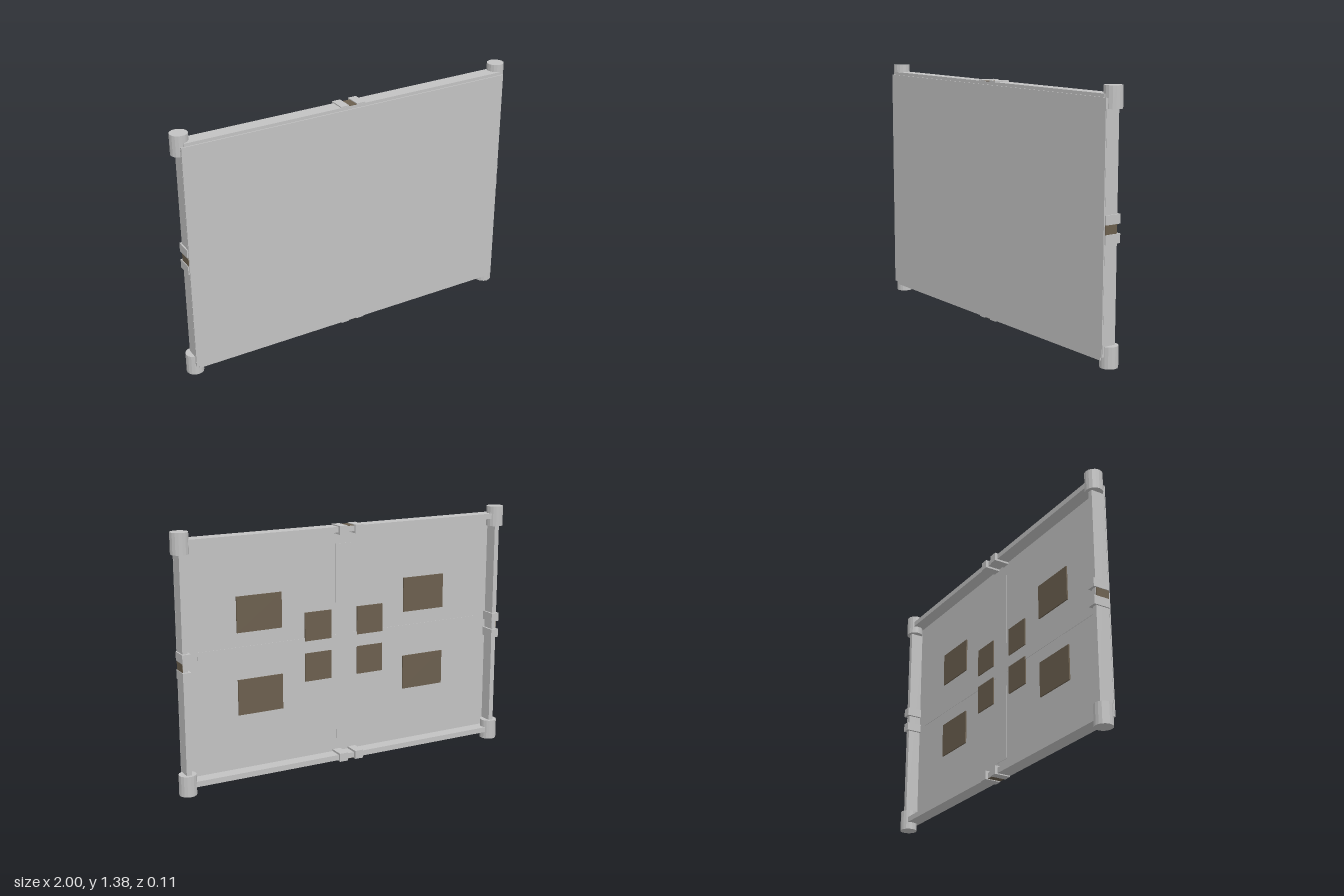
import * as THREE from 'three';

export function createModel() {
  const model = new THREE.Group();
  model.name = 'framedPanel';
  const grey = new THREE.MeshStandardMaterial({ color: 0xc2c2c2, flatShading: true });
  grey.name = 'light grey';
  const brown = new THREE.MeshStandardMaterial({ color: 0x6b5f4e, flatShading: true });
  brown.name = 'dark brown';

  const midY = 0.6925;

  // Box given by its minimum and maximum corners
  function box(name, material, [x0, y0, z0], [x1, y1, z1], parent = model) {
    const mesh = new THREE.Mesh(new THREE.BoxGeometry(x1 - x0, y1 - y0, z1 - z0), material);
    mesh.position.set((x0 + x1) / 2, (y0 + y1) / 2, (z0 + z1) / 2);
    mesh.name = name;
    parent.add(mesh);
    return mesh;
  }

  // Front sheet and the slightly offset backing sheet
  box('frontPanel', grey, [-0.967, 0.058, 0.049], [0.967, 1.328, 0.055]);
  box('backingPanel', grey, [-0.95, 0.04, 0.043], [0.95, 1.345, 0.049]);

  // Shallow cross of reinforcing strips on the back
  box('horizontalStrip', grey, [-0.86, midY - 0.05, 0.041], [0.86, midY + 0.05, 0.044]);
  for (const s of [-1, 1]) {
    const a = midY + s * 0.05, b = midY + s * 0.55;
    box('verticalStrip', grey, [-0.05, Math.min(a, b), 0.041], [0.05, Math.max(a, b), 0.044]);
  }

  // Frame bars
  for (const s of [-1, 1]) {
    const side = box('sideBar', grey, [-0.014, 0.06, -0.03], [0.014, 1.325, 0.048]);
    side.position.x = s * 0.953;
    const rail = box('railBar', grey, [-0.945, -0.015, -0.03], [0.945, 0.015, 0.043]);
    rail.position.y = midY + s * 0.6375;
  }

  // Corner caps
  const capGeometry = new THREE.CylinderGeometry(0.047, 0.047, 0.112, 16);
  for (const sx of [-1, 1]) for (const y of [0.056, 1.329]) {
    const cap = new THREE.Mesh(capGeometry, grey);
    cap.name = 'cornerCap';
    cap.position.set(sx * 0.953, y, -0.004);
    model.add(cap);
  }

  // Clamp pairs with a brown band between them, one on each bar;
  // local +y points outwards, origin at the outer face of the bar
  function clamp(x, y, angle) {
    const group = new THREE.Group();
    group.name = 'clamp';
    for (const s of [-1, 1]) {
      const jaw = box('clampJaw', grey, [-0.024, -0.04, -0.045], [0.024, 0.007, 0.048], group);
      jaw.position.x = s * 0.048;
    }
    box('clampBand', brown, [-0.024, -0.003, -0.028], [0.024, 0.003, 0.0475], group);
    group.position.set(x, y, 0);
    group.rotation.z = angle;
    model.add(group);
  }
  clamp(0, 1.344, 0);
  clamp(0, 0.041, Math.PI);
  clamp(0.967, midY, -Math.PI / 2);
  clamp(-0.967, midY, Math.PI / 2);

  // Brown pads on the back, mirrored in all four quarters
  for (const sx of [-1, 1]) for (const sy of [-1, 1]) {
    const large = box('largePad', brown, [-0.13, -0.097, 0.036], [0.13, 0.097, 0.0435]);
    large.position.x = sx * 0.507;
    large.position.y = midY + sy * 0.225;
    const small = box('smallPad', brown, [-0.08, -0.079, 0.036], [0.08, 0.079, 0.0435]);
    small.position.x = sx * 0.16;
    small.position.y = midY + sy * 0.113;
  }

  return model;
}
